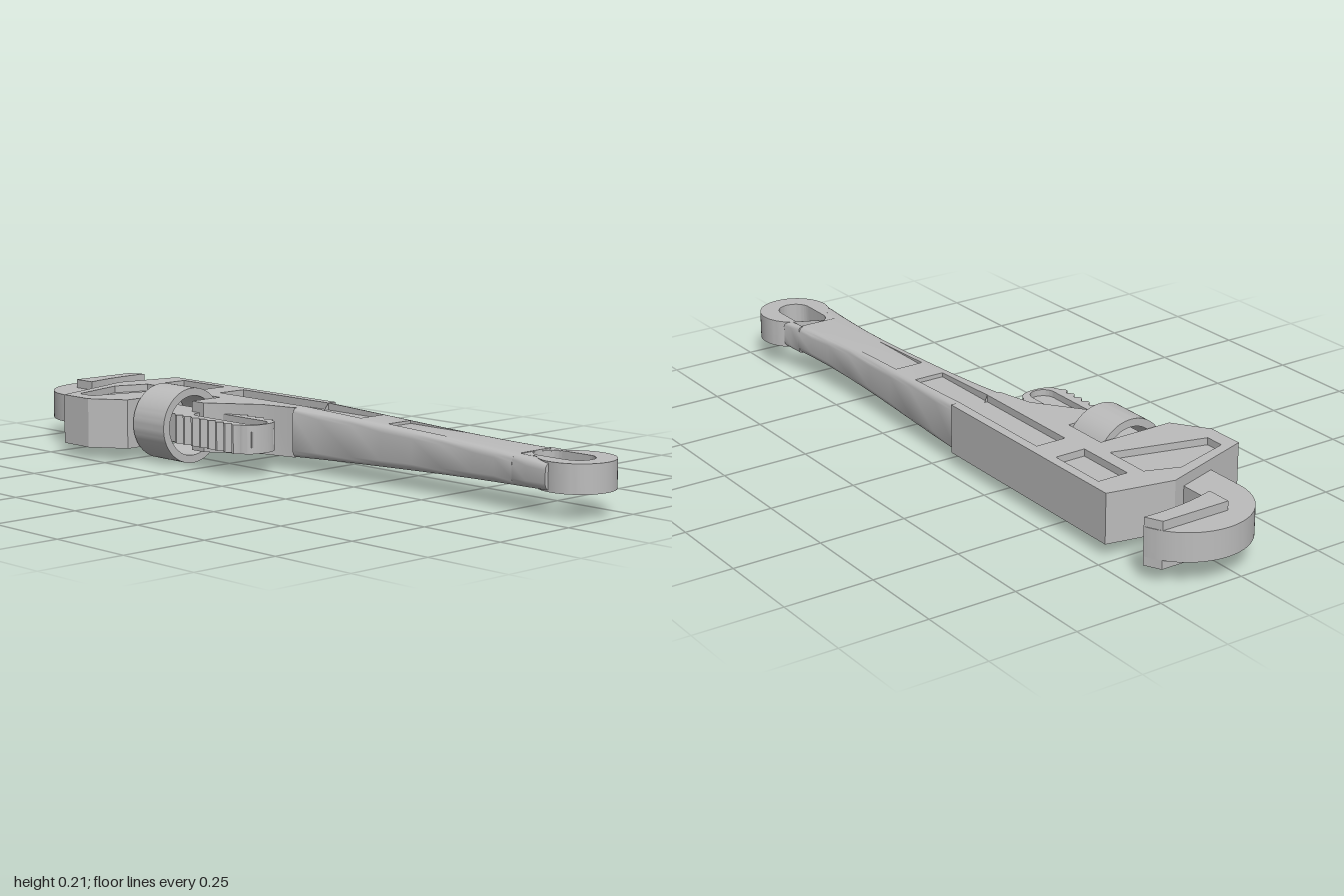
import * as THREE from 'three';
import { toCreasedNormals } from 'three/addons/utils/BufferGeometryUtils.js';

const Y = 0.109; // height of the mid plane
const FLOOR = 0.05; // half thickness left between opposite recesses

export function createModel() {
  const group = new THREE.Group();
  group.name = 'pipeWrench';
  const steel = new THREE.MeshStandardMaterial({ color: 0xbcbcbc });
  steel.name = 'steel';

  const add = (name, geo, x = 0, y = Y, z = 0) => {
    const mesh = new THREE.Mesh(geo, steel);
    mesh.name = name;
    mesh.position.set(x, y, z);
    group.add(mesh);
    return mesh;
  };
  const poly = (pts) => new THREE.Shape(pts.map(([x, z]) => new THREE.Vector2(x, z)));
  // Plan outline (x, z) thickened to +-h about the mid plane
  const slab = (name, shape, h, holes = []) => {
    shape.holes.push(...holes);
    const geo = new THREE.ExtrudeGeometry(shape, { depth: 2 * h, bevelEnabled: false, curveSegments: 24 });
    geo.translate(0, 0, -h).rotateX(Math.PI / 2);
    return add(name, toCreasedNormals(geo, 0.5));
  };
  const box = (name, x0, x1, z0, z1, h) =>
    add(name, new THREE.BoxGeometry(x1 - x0, 2 * h, z1 - z0), (x0 + x1) / 2, Y, (z0 + z1) / 2);
  const capsule = (x, r, z0, z1) => {
    const p = new THREE.Path();
    p.absarc(x, z1, r, 0, Math.PI, false);
    p.absarc(x, z0, r, Math.PI, 2 * Math.PI, false);
    p.closePath();
    return p;
  };

  // Housing: outline with an open slot on the handle side and two closed recesses
  slab('housing', poly([
    [0.213, -0.04], [0.185, -0.04], [0.185, -0.395], [0.095, -0.395], [0.095, -0.04], [0.055, -0.04],
    [0.03, -0.145], [-0.07, -0.28], [-0.07, -0.33], [0.035, -0.33], [0.035, -0.47], [-0.19, -0.47],
    [-0.256, -0.565], [-0.256, -0.675], [0.024, -0.765], [0.213, -0.728],
  ]), 0.07, [
    poly([[-0.21, -0.66], [-0.04, -0.71], [0.055, -0.675], [0.055, -0.535], [-0.21, -0.605]]),
    poly([[0.095, -0.66], [0.185, -0.66], [0.185, -0.48], [0.095, -0.48]]),
  ]);
  box('longRecessFloor', 0.09, 0.19, -0.4, -0.04, FLOOR);
  box('squareRecessFloor', 0.09, 0.19, -0.67, -0.47, FLOOR);
  slab('angledRecessFloor', poly([[-0.22, -0.665], [-0.04, -0.715], [0.06, -0.68], [0.06, -0.525], [-0.22, -0.6]]), FLOOR);

  // Hook jaw with its toothed shank
  const hook = new THREE.Shape();
  hook.moveTo(-0.132, -0.33);
  hook.absarc(0.045, -0.825, 0.177, Math.PI, 2 * Math.PI - 0.32, false);
  hook.quadraticCurveTo(0.09, -0.885, -0.013, -0.855);
  const teeth = 8, pitch = 0.034;
  for (let i = 0; i < teeth; i++) {
    const z = -0.33 + i * pitch;
    hook.lineTo(-0.013, z);
    hook.lineTo(0.001, z + pitch * 0.4);
    hook.lineTo(0.001, z + pitch * 0.6);
  }
  hook.lineTo(-0.013, -0.058);
  hook.quadraticCurveTo(-0.02, -0.022, -0.072, -0.022);
  hook.quadraticCurveTo(-0.125, -0.022, -0.132, -0.058);
  for (let i = teeth - 1; i >= 0; i--) {
    const z = -0.33 + i * pitch;
    hook.lineTo(-0.145, z + pitch * 0.6);
    hook.lineTo(-0.145, z + pitch * 0.4);
    hook.lineTo(-0.132, z);
  }
  slab('hookJaw', hook, 0.04, [capsule(-0.073, 0.036, -0.262, -0.066)]);
  box('shankGrooveFloor', -0.115, -0.032, -0.31, -0.028, 0.022);

  // Wider gripping pad of the hook jaw
  const pad = poly([[-0.013, -0.926], [0.19, -0.926], [0.213, -0.88]]);
  pad.quadraticCurveTo(0.09, -0.885, -0.013, -0.853);
  slab('jawPad', pad, 0.065);

  // Hollow adjusting nut
  const nutRing = new THREE.Shape().absarc(0, 0, 0.107, 0, 2 * Math.PI, false);
  nutRing.holes.push(new THREE.Path().absarc(0, 0, 0.085, 0, 2 * Math.PI, true));
  const nut = new THREE.ExtrudeGeometry(nutRing, { depth: 0.133, bevelEnabled: false, curveSegments: 48 });
  add('adjustingNut', toCreasedNormals(nut, 0.5), -0.068, Y, -0.463);

  // Rounded handle: rows are [z, left edge, right edge, recessed]
  add('handle', loft([
    [-0.04, 0.047, 0.208, 1], [0.05, 0.055, 0.207, 1], [0.18, 0.062, 0.204, 1],
    [0.18, 0.062, 0.204, 0], [0.285, 0.064, 0.201, 0], [0.285, 0.064, 0.201, 1],
    [0.4, 0.066, 0.199, 1], [0.51, 0.066, 0.199, 1], [0.62, 0.062, 0.203, 0],
    [0.7, 0.056, 0.21, 0], [0.767, 0.05, 0.217, 0],
  ]));
  // Handle sides running past the hanging hole
  add('handleLeftEnd', loft([[0.76, 0.051, 0.1, 0], [0.82, 0.044, 0.1, 0], [0.89, 0.037, 0.1, 0]]));
  add('handleRightEnd', loft([[0.76, 0.196, 0.216, 0], [0.8, 0.196, 0.221, 0], [0.85, 0.196, 0.229, 0]]));

  // Hanging eye with a slotted hole
  const eye = new THREE.Shape();
  eye.moveTo(0.2, 0.755);
  eye.absarc(0.15, 0.898, 0.102, -0.9, Math.PI + 0.9, false);
  eye.lineTo(0.075, 0.755);
  slab('hangingEye', eye, 0.039, [capsule(0.148, 0.047, 0.814, 0.9)]);

  return group;
}

// Closed loft along z of rounded rectangles, each with a notch above and below
function loft(rows) {
  const sections = rows.map(([z, x0, x1, recessed]) => {
    const h = 0.07 - 0.0362 * (z + 0.04);
    const r = Math.min(0.02, (x1 - x0) * 0.45);
    const floor = recessed ? Math.min(h, FLOOR) : h;
    const n0 = Math.min(Math.max(0.095, x0 + r), x1 - r), n1 = Math.max(n0, Math.min(0.185, x1 - r));
    const pts = [];
    const corner = (cx, cy, start) => {
      for (let i = 0; i <= 4; i++) {
        const a = start + (i * Math.PI) / 8;
        pts.push([cx + r * Math.cos(a), cy + r * Math.sin(a), z]);
      }
    };
    corner(x1 - r, r - h, -Math.PI / 2);
    corner(x1 - r, h - r, 0);
    pts.push([n1, h, z], [n1, floor, z], [n0, floor, z], [n0, h, z]);
    corner(x0 + r, h - r, Math.PI / 2);
    corner(x0 + r, r - h, Math.PI);
    pts.push([n0, -h, z], [n0, -floor, z], [n1, -floor, z], [n1, -h, z]);
    return { pts, centre: [(x0 + x1) / 2, 0, z] };
  });
  const out = [];
  const first = sections[0], last = sections[sections.length - 1], n = first.pts.length;
  for (let i = 0; i < n; i++) {
    const j = (i + 1) % n;
    for (let s = 0; s < sections.length - 1; s++) {
      const a = sections[s].pts, b = sections[s + 1].pts;
      out.push(...a[i], ...a[j], ...b[j], ...a[i], ...b[j], ...b[i]);
    }
    out.push(...first.centre, ...first.pts[j], ...first.pts[i]);
    out.push(...last.centre, ...last.pts[i], ...last.pts[j]);
  }
  const geo = new THREE.BufferGeometry();
  geo.setAttribute('position', new THREE.Float32BufferAttribute(out, 3));
  return toCreasedNormals(geo, 0.6);
}
